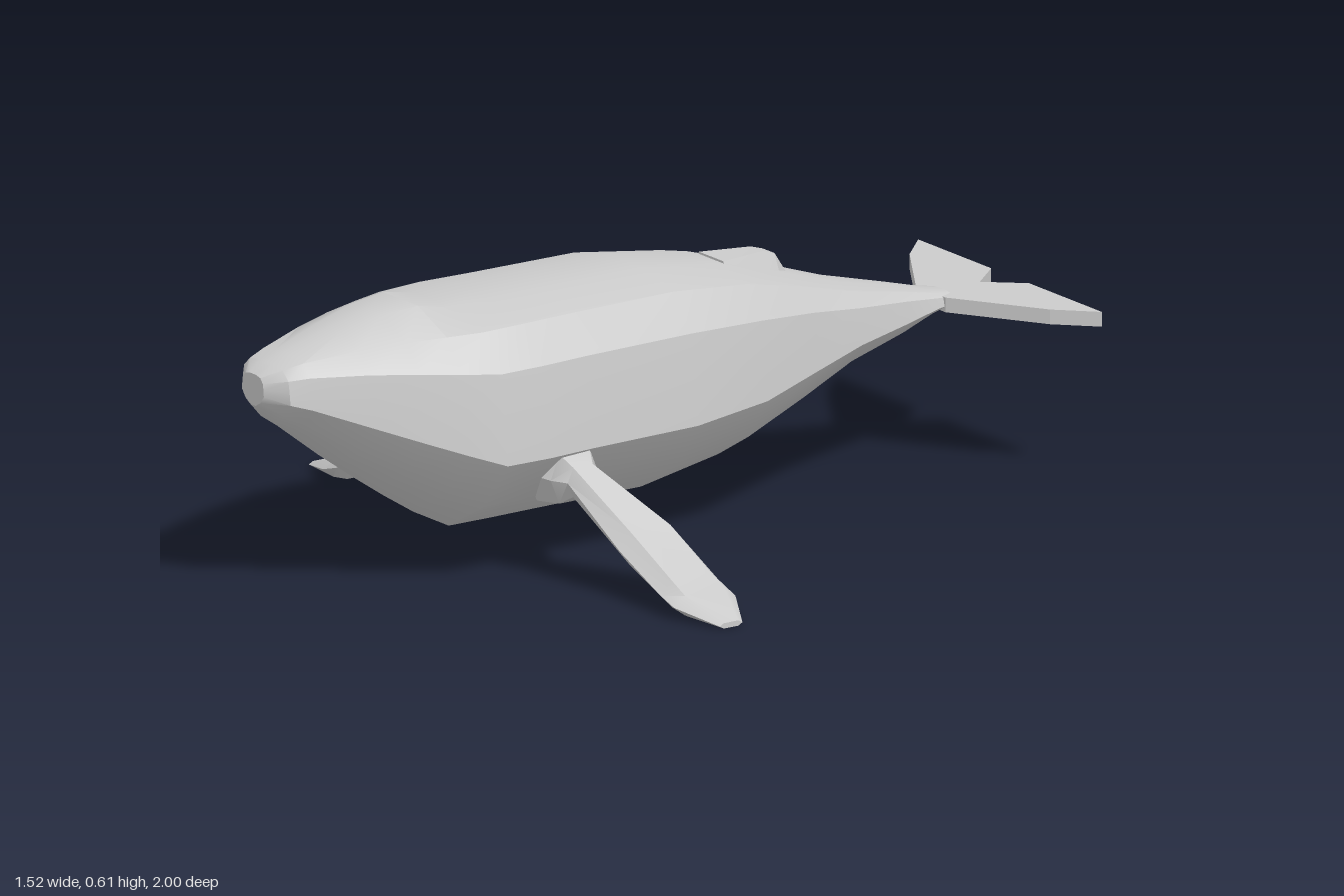
import * as THREE from 'three';
import { toCreasedNormals } from 'three/addons/utils/BufferGeometryUtils.js';

const material = new THREE.MeshStandardMaterial({ color: 0xcccccc });

// Skin a list of equal-length rings of [x, y, z] and close both ends
function loft(name, rings, crease) {
  const n = rings[0].length, last = (rings.length - 1) * n, index = [];
  for (let i = 0; i < rings.length - 1; i++) {
    for (let j = 0; j < n; j++) {
      const a = i * n + j, b = i * n + (j + 1) % n;
      index.push(a, b, a + n, b, b + n, a + n);
    }
  }
  for (let j = 1; j < n - 1; j++) index.push(0, j + 1, j, last, last + j, last + j + 1);
  const geometry = new THREE.BufferGeometry();
  geometry.setAttribute('position', new THREE.Float32BufferAttribute(rings.flat(2), 3));
  geometry.setIndex(index);
  const mesh = new THREE.Mesh(toCreasedNormals(geometry, crease), material);
  mesh.name = name;
  return mesh;
}

// Body: half outline (width share, height share), bottom to top
const outline = [[0, 0], [0.23, 0], [0.69, 0.15], [1, 0.38], [0.96, 0.6], [0.91, 0.79], [0.67, 0.95], [0.25, 1], [0, 1]];
// z, half width, bottom, top, crown rise
const stations = [
  [-0.82, 0.045, 0.355, 0.39, 0],
  [-0.77, 0.056, 0.345, 0.4, 0],
  [-0.68, 0.075, 0.31, 0.425, 0],
  [-0.52, 0.125, 0.27, 0.465, 0],
  [-0.37, 0.172, 0.205, 0.515, 0],
  [-0.19, 0.238, 0.14, 0.567, 0],
  [0.02, 0.274, 0.105, 0.595, 0],
  [0.3, 0.282, 0.105, 0.595, 0],
  [0.42, 0.291, 0.105, 0.595, 0],
  [0.53, 0.285, 0.105, 0.592, 0.003],
  [0.61, 0.255, 0.155, 0.587, 0.024],
  [0.7, 0.217, 0.215, 0.58, 0.023],
  [0.8, 0.168, 0.285, 0.568, 0.012],
  [0.92, 0.11, 0.375, 0.545, 0],
  [0.965, 0.09, 0.405, 0.532, 0],
  [1, 0.04, 0.44, 0.51, 0],
];

function makeBody() {
  const rings = stations.map(([z, w, bottom, top, rise]) => {
    const half = outline.map(([u, v]) => [u * w, bottom + v * (top - bottom) + (v === 1 ? rise : 0), z]);
    const mirrored = half.slice(1, -1).reverse().map(([x, y]) => [-x, y, z]);
    return [...half, ...mirrored];
  });
  return loft('body', rings, 0.5);
}

// Flipper sections: x, middle y, half thickness, trailing z, leading z
const flipperSections = [
  [0.2, 0.235, 0.065, 0.27, 0.42],
  [0.275, 0.235, 0.055, 0.285, 0.41],
  [0.31, 0.234, 0.033, 0.31, 0.39],
  [0.45, 0.108, 0.038, 0.19, 0.352],
  [0.6, 0.045, 0.03, 0.19, 0.352],
  [0.65, 0.03, 0.022, 0.19, 0.352],
  [0.76, 0.007, 0.006, 0.25, 0.31],
];

function makeFlipper(name, side) {
  const rings = flipperSections.map(([x, y, h, z0, z1]) => {
    const a = z0 + 0.18 * (z1 - z0), b = z1 - 0.18 * (z1 - z0);
    const ring = [[y + h, a], [y + h, b], [y, z1], [y - h, b], [y - h, a], [y, z0]]
      .map(([py, pz]) => [side * x, py, pz]);
    return side > 0 ? ring : ring.reverse();
  });
  return loft(name, rings, 0.7);
}

// Tail flukes: flat notched plate
function makeFlukes() {
  const half = [[0.055, -0.79], [0.26, -0.92], [0.34, -1], [0.07, -1]];
  const points = [...half, [0, -0.92], ...half.slice().reverse().map(([x, z]) => [-x, z])];
  const shape = new THREE.Shape(points.map(([x, z]) => new THREE.Vector2(x, -z)));
  const geometry = new THREE.ExtrudeGeometry(shape, { depth: 0.033, bevelEnabled: false });
  geometry.rotateX(-Math.PI / 2).translate(0, 0.355, 0);
  const mesh = new THREE.Mesh(geometry, material);
  mesh.name = 'tailFlukes';
  return mesh;
}

// Dorsal fin: low wedge rising out of the back, z, base and top half widths, base and top heights
function makeDorsalFin() {
  const sections = [
    [-0.392, 0.03, 0.02, 0.48, 0.508],
    [-0.362, 0.055, 0.022, 0.48, 0.553],
    [-0.33, 0.056, 0.022, 0.49, 0.563],
    [-0.21, 0.065, 0.045, 0.53, 0.566],
  ];
  const rings = sections.map(([z, w, t, y0, y1]) => [[-w, y0, z], [w, y0, z], [t, y1, z], [-t, y1, z]]);
  return loft('dorsalFin', rings, 0.4);
}

export function createModel() {
  const model = new THREE.Group();
  model.name = 'whale';
  model.add(
    makeBody(),
    makeFlipper('leftFlipper', 1),
    makeFlipper('rightFlipper', -1),
    makeFlukes(),
    makeDorsalFin(),
  );
  return model;
}
